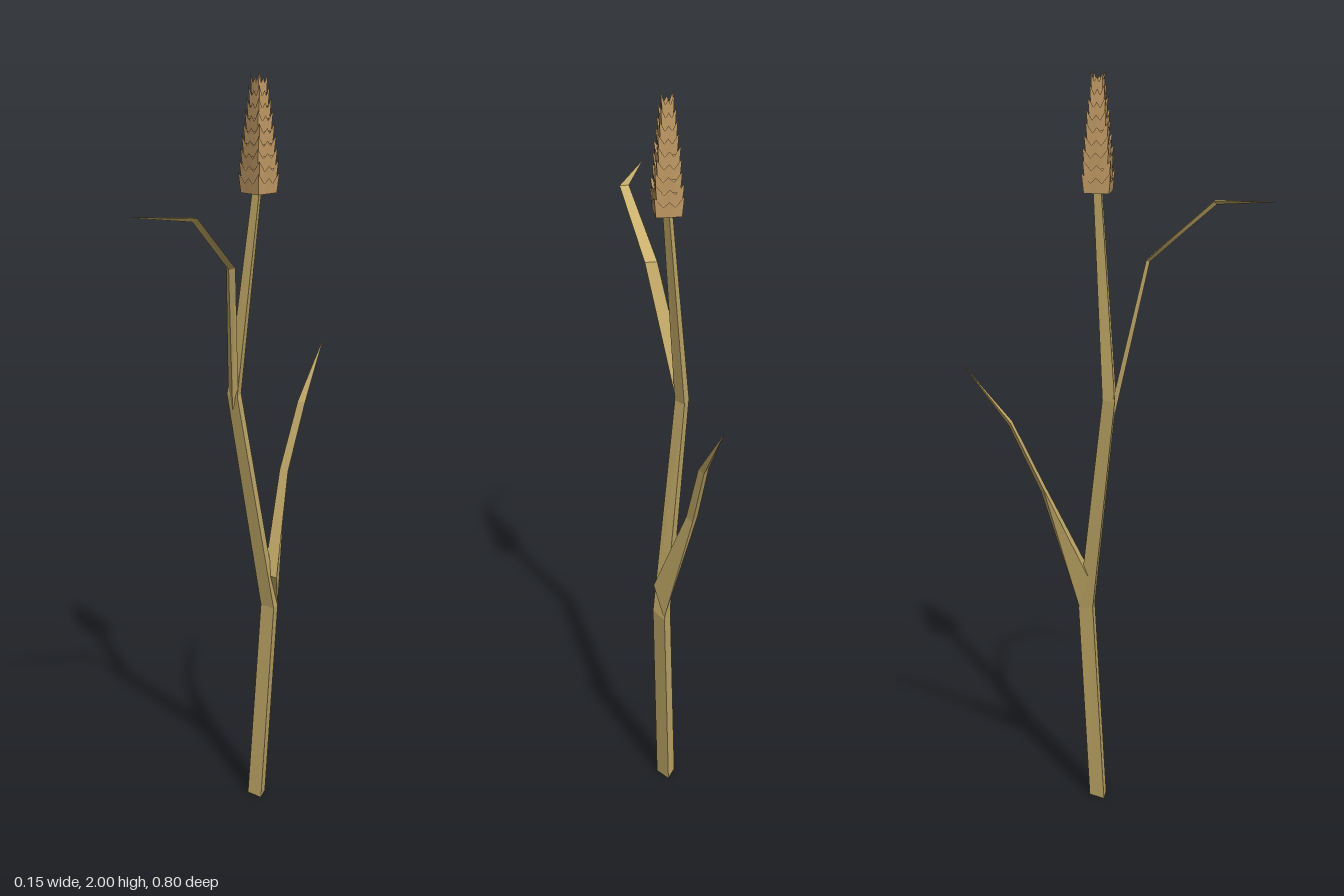
import * as THREE from 'three';

const stalkMat = new THREE.MeshStandardMaterial({ color: 0xc9b06b, flatShading: true, side: THREE.DoubleSide });
const headMat = new THREE.MeshStandardMaterial({ color: 0xc8a068, flatShading: true, side: THREE.DoubleSide });

// Joins rings of points into a closed or open skin.
function loft(name, rings, mat, capped) {
  const n = rings[0].length, index = [];
  for (let r = 0; r < rings.length - 1; r++) {
    for (let i = 0; i < n; i++) {
      const j = (i + 1) % n, a = r * n, b = a + n;
      index.push(a + i, a + j, b + j, a + i, b + j, b + i);
    }
  }
  if (capped) {
    const top = (rings.length - 1) * n;
    for (let i = 1; i < n - 1; i++) index.push(0, i + 1, i, top, top + i, top + i + 1);
  }
  const geo = new THREE.BufferGeometry();
  geo.setAttribute('position', new THREE.Float32BufferAttribute(rings.flat(2), 3));
  geo.setIndex(index);
  geo.computeVertexNormals();
  const mesh = new THREE.Mesh(geo, mat);
  mesh.name = name;
  return mesh;
}

// Triangular section: a flat edge of width w along x, and a keel offset by (dy, dz).
const section = ([x, y, z, w, dy, dz]) => {
  const s = dz > 0 ? -w / 2 : w / 2;
  return [[x - s, y, z], [x + s, y, z], [x, y + dy, z + dz]];
};
const blade = (name, stations) => loft(name, stations.map(section), stalkMat, true);

// One square cup of the seed head, with a toothed rim rising at the corners.
function cup(y, half, height) {
  const base = [], rim = [];
  for (let i = 0; i < 16; i++) {
    const a = -(i / 16) * Math.PI * 2 + Math.PI / 4;
    const c = Math.cos(a), s = Math.sin(a), k = 1 / Math.max(Math.abs(c), Math.abs(s));
    const tooth = i % 4 === 0 ? 1 : i % 2 === 0 ? 0.75 : 0.5;
    const flare = half * (i % 2 === 0 ? 1 : 0.95);
    base.push([c * k * half * 0.87, y, s * k * half * 0.87]);
    rim.push([c * k * flare, y + height * tooth, s * k * flare]);
  }
  return loft('seedTier', [base, rim], headMat, false);
}

export function createModel() {
  const model = new THREE.Group();
  model.name = 'driedGrassStalk';

  // Bent three-sided stem
  model.add(blade('stem', [
    [0.004, 0, -0.042, 0.05, 0, -0.043],
    [0.021, 0.555, -0.074, 0.048, -0.01, -0.042],
    [-0.046, 1.15, -0.006, 0.038, 0, -0.035],
    [0.002, 1.71, -0.048, 0.025, 0, -0.022],
  ]));

  // Lower leaf, leaning backward
  model.add(blade('lowerLeaf', [
    [0.022, 0.64, -0.085, 0.046, -0.09, -0.03],
    [-0.036, 0.905, -0.2, 0.031, -0.014, -0.008],
    [-0.048, 1.083, -0.283, 0.027, -0.01, -0.007],
    [-0.075, 1.237, -0.4, 0.001, -0.001, -0.001],
  ]));

  // Upper leaf, arching forward
  model.add(blade('upperLeaf', [
    [-0.046, 1.16, -0.01, 0.037, -0.05, 0.002],
    [0.022, 1.513, 0.068, 0.033, -0.006, 0.008],
    [0.062, 1.664, 0.24, 0.025, -0.01, 0.006],
    [-0.015, 1.675, 0.4, 0.001, -0.001, 0.001],
  ]));

  // Seed head: a tapered square core wrapped in toothed cups
  const head = new THREE.Group();
  head.name = 'seedHead';
  const core = new THREE.Mesh(
    new THREE.CylinderGeometry(0.011 * Math.SQRT2, 0.032 * Math.SQRT2, 0.27, 4).rotateY(Math.PI / 4), headMat);
  core.name = 'seedCore';
  core.position.y = 0.135;
  head.add(core);
  const tiers = 9;
  for (let i = 0; i < tiers; i++) {
    const t = i / (tiers - 1);
    const tier = cup(t * 0.255, 0.038 - 0.022 * Math.pow(t, 1.3), 0.055);
    tier.rotation.y = 0.05 * Math.sin(i * 2.1) - 0.04;
    head.add(tier);
  }
  head.position.set(0.003, 1.69, -0.056);
  model.add(head);

  return model;
}
